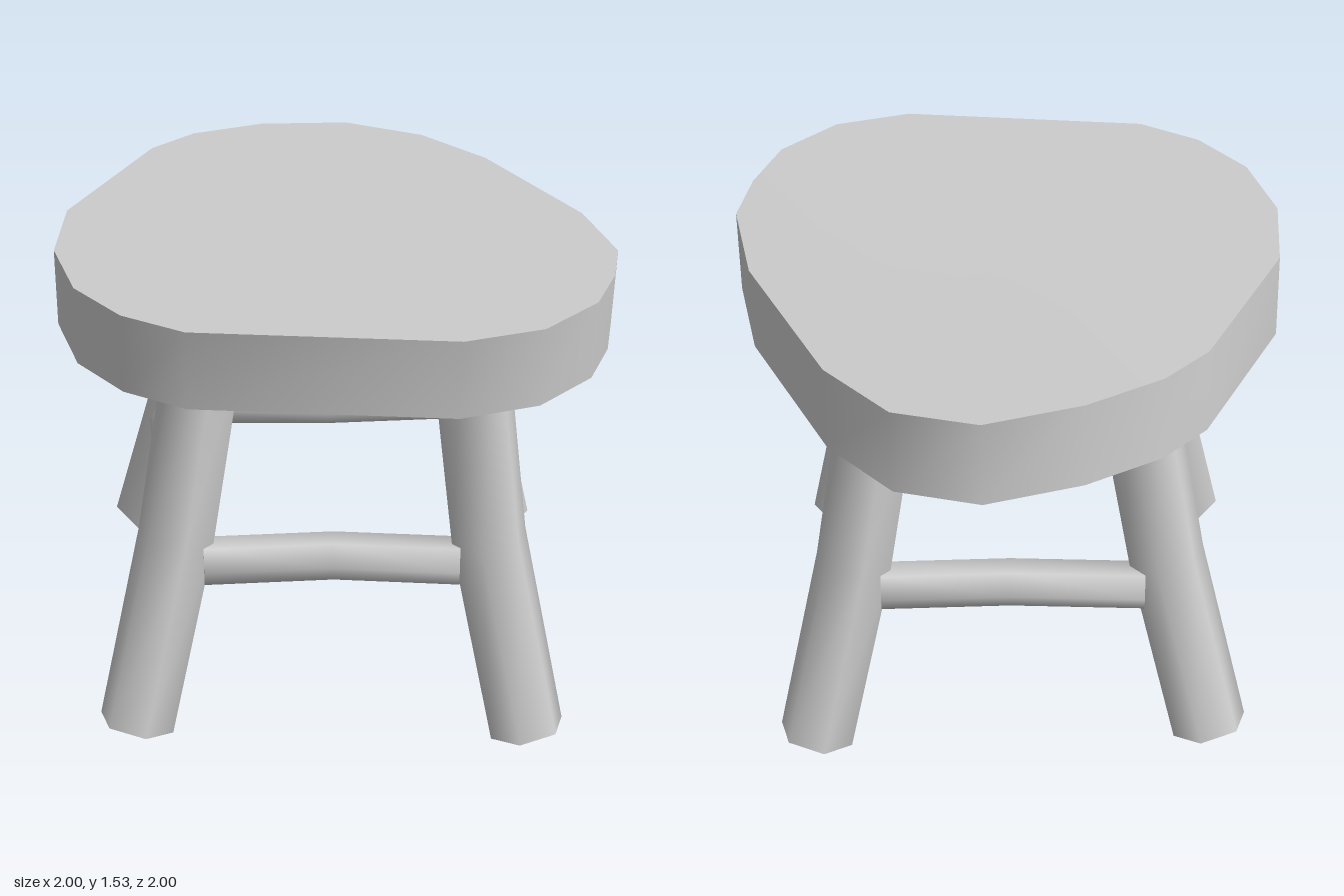
import * as THREE from 'three';
import { toCreasedNormals } from 'three/addons/utils/BufferGeometryUtils.js';

const V = (x, y, z) => new THREE.Vector3(x, y, z);
const material = new THREE.MeshStandardMaterial({ color: 0xcccccc });

// Skin a series of closed rings and close both ends around their centroids
function loft(rings, crease) {
  const n = rings[0].length, last = rings.length - 1, index = [];
  const points = rings.flat();
  for (let i = 0; i < last; i++) {
    for (let j = 0; j < n; j++) {
      const a = i * n + j, b = i * n + (j + 1) % n;
      index.push(a, b, b + n, a, b + n, a + n);
    }
  }
  for (const i of [0, last]) {
    const centre = rings[i].reduce((s, p) => s.add(p), V(0, 0, 0)).divideScalar(n);
    const c = points.push(centre) - 1;
    for (let j = 0; j < n; j++) {
      const a = i * n + j, b = i * n + (j + 1) % n;
      if (i === 0) index.push(c, b, a);
      else index.push(c, a, b);
    }
  }
  const geometry = new THREE.BufferGeometry().setFromPoints(points);
  geometry.setIndex(index);
  return toCreasedNormals(geometry, crease);
}

// Six-sided pole through a bent path, one corner pointing along "out"
function pole(path, radius, out) {
  const rings = path.map((p, i) => {
    const before = path[Math.max(i - 1, 0)], after = path[Math.min(i + 1, path.length - 1)];
    const t = after.clone().sub(before).normalize();
    const u = out.clone().addScaledVector(t, -out.dot(t)).normalize();
    const v = t.clone().cross(u);
    return Array.from({ length: 6 }, (_, k) => {
      const a = k * Math.PI / 3;
      return p.clone().addScaledVector(u, radius * Math.cos(a)).addScaledVector(v, radius * Math.sin(a));
    });
  });
  return loft(rings, 1.3);
}

// Irregular slab, sagging towards +x, its underside slightly shifted
function seatGeometry() {
  const outline = [
    [0, -0.81], [0.19, -0.81], [0.43, -0.73], [0.68, -0.57], [0.805, -0.33], [0.8, -0.04],
    [0.63, 0.5], [0.46, 0.77], [0.3, 0.88], [0.11, 0.965], [-0.13, 0.965], [-0.35, 0.85],
    [-0.85, 0.25], [-0.905, 0.04], [-0.88, -0.19], [-0.75, -0.43], [-0.53, -0.625],
  ];
  const height = x => 1.533 - 0.006 * x - 0.08 * Math.max(x, 0) ** 2;
  const ring = (scale, bottom) => outline.map(([x, z]) => V(
    x * scale + (bottom ? 0.015 : 0),
    height(x * scale) - (bottom ? 0.26 : 0),
    z * scale - (bottom ? 0.02 : 0)));
  return loft([ring(0.5, false), ring(1, false), ring(1, true), ring(0.5, true)], 0.8);
}

export function createModel() {
  const group = new THREE.Group();
  const add = (name, geometry) => {
    const mesh = new THREE.Mesh(geometry, material);
    mesh.name = name;
    group.add(mesh);
  };

  add('seat', seatGeometry());

  // Legs: [name, direction, sideways shift, then distance and height of top, bend and foot]
  const legs = [
    ['frontLeg', V(0, 0, 1), -0.02, [[0.59, 1.36], [0.7, 0.68], [0.885, 0.04]]],
    ['leftLeg', V(1, 0, 0), 0, [[0.535, 1.36], [0.69, 0.68], [0.88, 0.075]]],
    ['backLeg', V(0, 0, -1), -0.02, [[0.485, 1.36], [0.67, 0.69], [0.885, 0.117]]],
    ['rightLeg', V(-1, 0, 0), 0, [[0.53, 1.36], [0.69, 0.68], [0.885, 0.075]]],
  ];
  for (const [name, dir, shift, profile] of legs) {
    add(name, pole(profile.map(([d, y]) => V(dir.x * d + shift, y, dir.z * d)), 0.121, dir));
  }

  // Stretchers between neighbouring legs, bowed slightly inwards
  for (const [name, sx, sz] of [
    ['frontLeftStretcher', 1, 1], ['backLeftStretcher', 1, -1],
    ['backRightStretcher', -1, -1], ['frontRightStretcher', -1, 1],
  ]) {
    const path = [[0.65, 0.08], [0.35, 0.35], [0.08, 0.655]]
      .map(([x, z]) => V(sx * x - (z > 0.5 ? 0.02 : 0), 0.608, sz * z));
    add(name, pole(path, 0.075, V(sx, 0, sz).normalize()));
  }
  return group;
}
